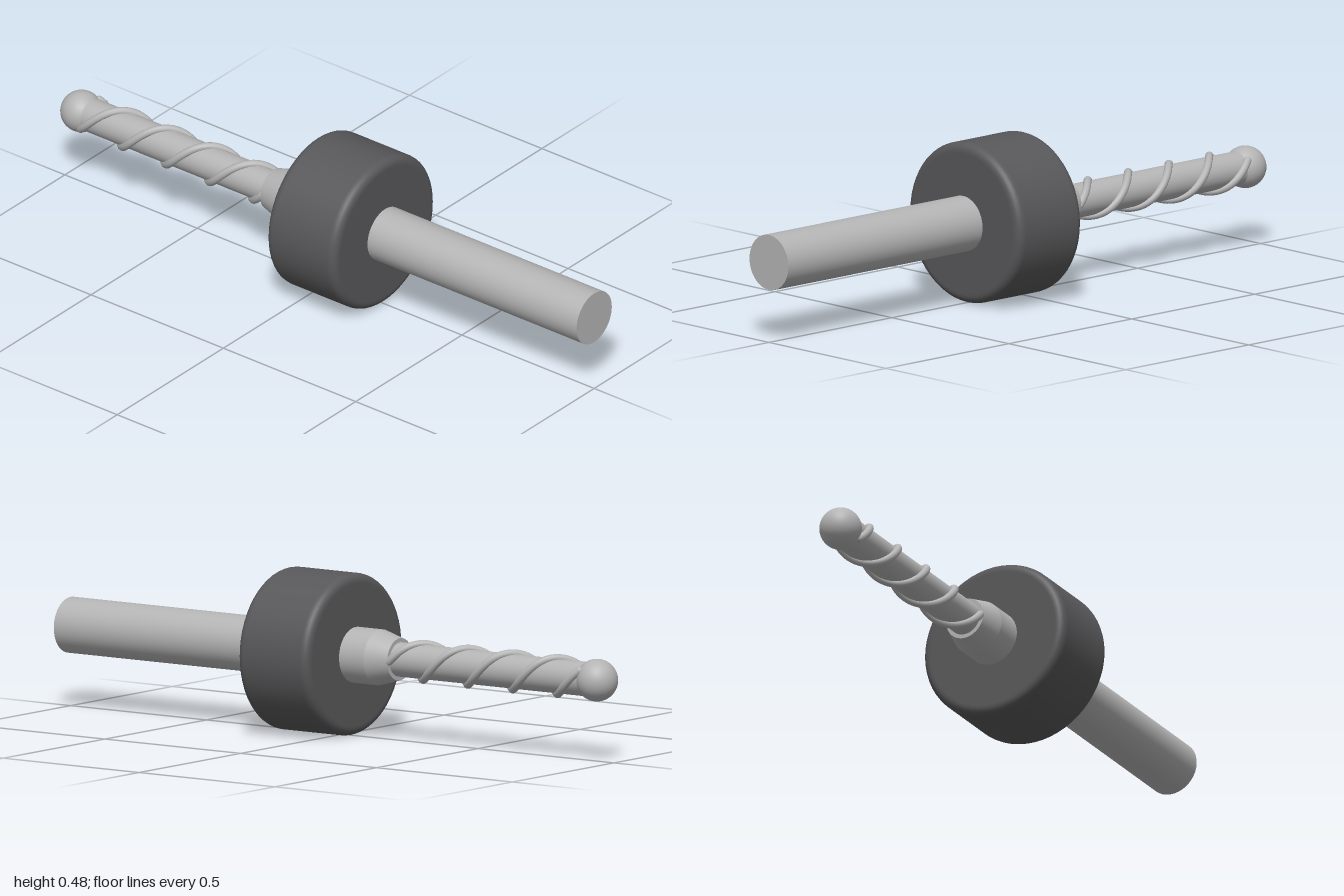
import * as THREE from 'three';

const AXIS_Y = 0.242;

export function createModel() {
  const model = new THREE.Group();
  model.name = 'rotaryBit';

  const steel = new THREE.MeshStandardMaterial({ color: 0xb4b4b5 });
  steel.name = 'brushed steel';
  const rubber = new THREE.MeshStandardMaterial({ color: 0x58585a });
  rubber.name = 'dark grey collar';

  // Everything is laid out along z, then lifted to the axis height
  const add = (name, geometry, material, z = 0) => {
    const mesh = new THREE.Mesh(geometry, material);
    mesh.name = name;
    mesh.position.set(0, AXIS_Y, z);
    model.add(mesh);
    return mesh;
  };
  // Round bar from zBack to zFront
  const bar = (name, zBack, zFront, rBack, rFront) => {
    const g = new THREE.CylinderGeometry(rFront, rBack, zFront - zBack, 48);
    g.rotateX(Math.PI / 2);
    return add(name, g, steel, (zBack + zFront) / 2);
  };

  bar('shank', -0.14, 1, 0.083, 0.083);
  bar('taperedNeck', -0.212, -0.14, 0.063, 0.083);
  bar('cutterCore', -0.94, -0.2, 0.051, 0.051);
  add('ballTip', new THREE.SphereGeometry(0.063, 40, 24), steel, -0.937);

  // Collar: turned profile with rounded rims
  const R = 0.241, half = 0.13, bevel = 0.025, steps = 6;
  const profile = [new THREE.Vector2(0, -half), new THREE.Vector2(R - bevel - 0.004, -half)];
  for (const side of [-1, 1]) {
    for (let i = 0; i <= steps; i++) {
      const a = (side < 0 ? i / steps - 1 : i / steps) * Math.PI / 2;
      profile.push(new THREE.Vector2(
        R - bevel + bevel * Math.cos(a), side * (half - bevel) + bevel * Math.sin(a)));
    }
    if (side < 0) {
      profile.push(new THREE.Vector2(R, -half + bevel + 0.004), new THREE.Vector2(R, half - bevel - 0.004));
    }
  }
  profile.push(new THREE.Vector2(R - bevel - 0.004, half), new THREE.Vector2(0, half));
  const collar = new THREE.LatheGeometry(profile, 56);
  collar.rotateX(Math.PI / 2);
  add('depthCollar', collar, rubber, 0.08);

  // Two helical cutting ridges, half a turn apart
  const zStart = -0.213, zEnd = -0.905, pitch = 0.33, helixR = 0.053;
  for (let k = 0; k < 2; k++) {
    const points = [];
    for (let i = 0; i <= 72; i++) {
      const z = THREE.MathUtils.lerp(zStart, zEnd, i / 72);
      const a = k * Math.PI + (zStart - z) * 2 * Math.PI / pitch;
      points.push(new THREE.Vector3(helixR * Math.cos(a), helixR * Math.sin(a), z));
    }
    const path = new THREE.CatmullRomCurve3(points);
    add(`spiralFlute${k + 1}`, new THREE.TubeGeometry(path, 160, 0.012, 12), steel);
    // Rounded ridge ends
    for (const p of [points[0], points[72]]) {
      const cap = add('fluteEnd', new THREE.SphereGeometry(0.012, 12, 8), steel);
      cap.position.add(p);
    }
  }

  return model;
}
